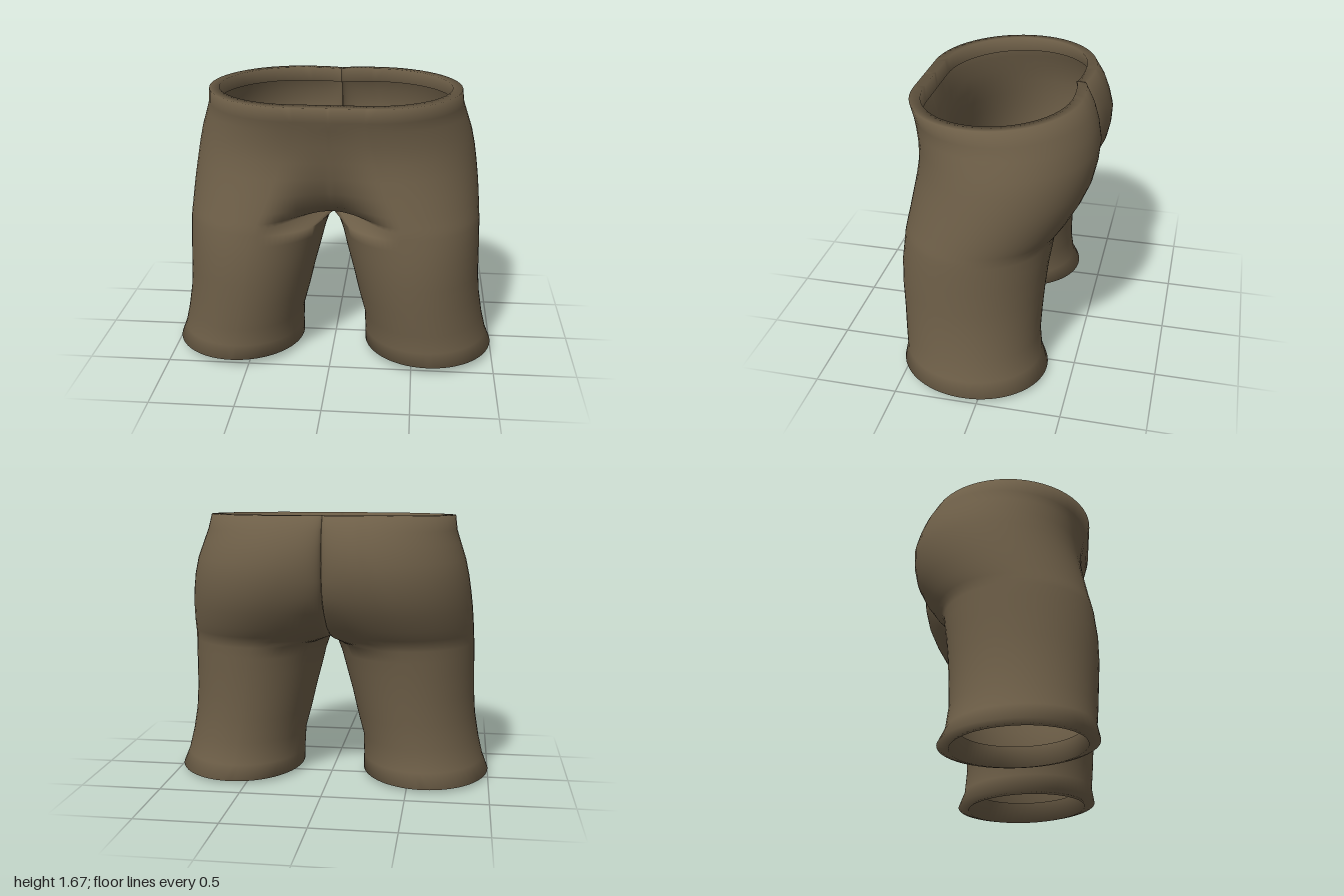
import * as THREE from 'three';
import { mergeVertices } from 'three/addons/utils/BufferGeometryUtils.js';

// Leg rings, bottom to top: [y, innerX, outerX, centreX, frontZ, backZ]
// The first two rows turn the hem inwards.
const LEG = [
  [0.14, 0.26, 0.90, 0.58, 0.47, -0.24],
  [0.012, 0.26, 0.94, 0.60, 0.48, -0.28],
  [0.03, 0.20, 1.00, 0.60, 0.545, -0.345],
  [0.12, 0.20, 0.965, 0.58, 0.53, -0.305],
  [0.25, 0.195, 0.935, 0.56, 0.54, -0.29],
  [0.40, 0.155, 0.91, 0.53, 0.55, -0.295],
  [0.55, 0.12, 0.90, 0.51, 0.56, -0.305],
  [0.70, 0.08, 0.897, 0.49, 0.56, -0.32],
  [0.80, 0.055, 0.895, 0.47, 0.55, -0.335],
  [0.87, 0.03, 0.893, 0.45, 0.545, -0.345],
];

// Hip rings: [y, outerX, centreX, frontZ, backZ, frontZ at x=0, backZ at x=0]
// The last two rows turn the waistband inwards.
const HIP = [
  [0.91, 0.89, 0.43, 0.54, -0.36, 0.17, -0.03],
  [0.94, 0.888, 0.42, 0.535, -0.385, 0.27, -0.13],
  [1.00, 0.885, 0.39, 0.525, -0.43, 0.36, -0.25],
  [1.10, 0.877, 0.35, 0.51, -0.49, 0.42, -0.37],
  [1.20, 0.865, 0.31, 0.495, -0.535, 0.45, -0.44],
  [1.30, 0.85, 0.28, 0.485, -0.557, 0.47, -0.465],
  [1.40, 0.828, 0.25, 0.49, -0.565, 0.485, -0.475],
  [1.50, 0.795, 0.23, 0.51, -0.545, 0.51, -0.47],
  [1.57, 0.772, 0.22, 0.525, -0.515, 0.53, -0.455],
  [1.66, 0.76, 0.22, 0.55, -0.46, 0.55, -0.425],
  [1.662, 0.70, 0.22, 0.485, -0.40, 0.485, -0.375],
  [1.57, 0.71, 0.22, 0.475, -0.43, 0.475, -0.395],
];

const INNER = 20, OUTER = 28, SPLIT = 0.6;

// Inner quarter of a leg, u = 0 at the front or back, 1 at the inner thigh
function legPoint([y, xi, , cx, zf, zb], u, front) {
  const a = u * Math.PI / 2, cz = (zf + zb) / 2;
  return [cx - (cx - xi) * Math.sin(a), y, cz + ((front ? zf : zb) - cz) * Math.cos(a)];
}

// Inner part of a hip ring: runs to the centre line, then along it
function hipPoint([y, , cx, zf, zb, zf0, zb0], u, front) {
  const z = front ? zf : zb, z0 = front ? zf0 : zb0;
  if (u >= SPLIT - 1e-6) {
    const t = (u - SPLIT) / (1 - SPLIT);
    return [0, y, z0 + ((zf0 + zb0) / 2 - z0) * t];
  }
  const t = u / SPLIT, a = t * Math.PI / 2;
  return front
    ? [cx * (1 - t), y, z0 + (z - z0) * (0.5 + 0.5 * Math.cos(Math.PI * t))]
    : [cx * (1 - Math.sin(a)), y, z0 + (z - z0) * Math.cos(a)];
}

// Full ring: inner thigh, front, outside, back, inner thigh
function ring(row, isLeg) {
  const inner = isLeg ? legPoint : hipPoint;
  const [xo, cx, zf, zb] = isLeg ? row.slice(2) : row.slice(1);
  const cz = (zf + zb) / 2, rz = (zf - zb) / 2, pts = [];
  for (let i = INNER; i > 0; i--) pts.push(inner(row, i / INNER, true));
  for (let i = 0; i <= OUTER; i++) {
    const a = i / OUTER * Math.PI;
    pts.push([cx + (xo - cx) * Math.sin(a), row[0], cz + rz * Math.cos(a)]);
  }
  for (let i = 1; i <= INNER; i++) pts.push(inner(row, i / INNER, false));
  // hems and waistband slope slightly from front to back
  const tilt = row[0] < 0.2 ? 0.03 : row[0] > 1.5 ? -0.03 : 0;
  return pts.map(([x, y, z]) => [x, y + tilt * z, z]);
}

function trousersGeometry() {
  const rings = [...LEG.map(r => ring(r, true)), ...HIP.map(r => ring(r, false))];
  const pos = [];
  const tri = (a, b, c) => {
    // nothing is built across the centre plane, which keeps the hips hollow
    if (Math.max(a[0], b[0], c[0]) < 1e-5) return;
    pos.push(...a, ...b, ...c);
    for (const p of [a, c, b]) pos.push(p[0] ? -p[0] : 0, p[1], p[2]);
  };
  for (let i = 0; i < rings.length - 1; i++) {
    const lo = rings[i], hi = rings[i + 1];
    for (let j = 0; j < lo.length - 1; j++) {
      tri(lo[j], lo[j + 1], hi[j + 1]);
      tri(lo[j], hi[j + 1], hi[j]);
    }
  }
  let g = new THREE.BufferGeometry();
  g.setAttribute('position', new THREE.Float32BufferAttribute(pos, 3));
  g = mergeVertices(g, 1e-4);
  g.computeVertexNormals();
  return g;
}

export function createModel() {
  const cloth = new THREE.MeshStandardMaterial({ color: 0x6e5f48, side: THREE.DoubleSide });
  cloth.name = 'brown cloth';
  const group = new THREE.Group();
  group.name = 'shorts';
  const mesh = new THREE.Mesh(trousersGeometry(), cloth);
  mesh.name = 'hipsAndLegs';
  group.add(mesh);
  return group;
}
